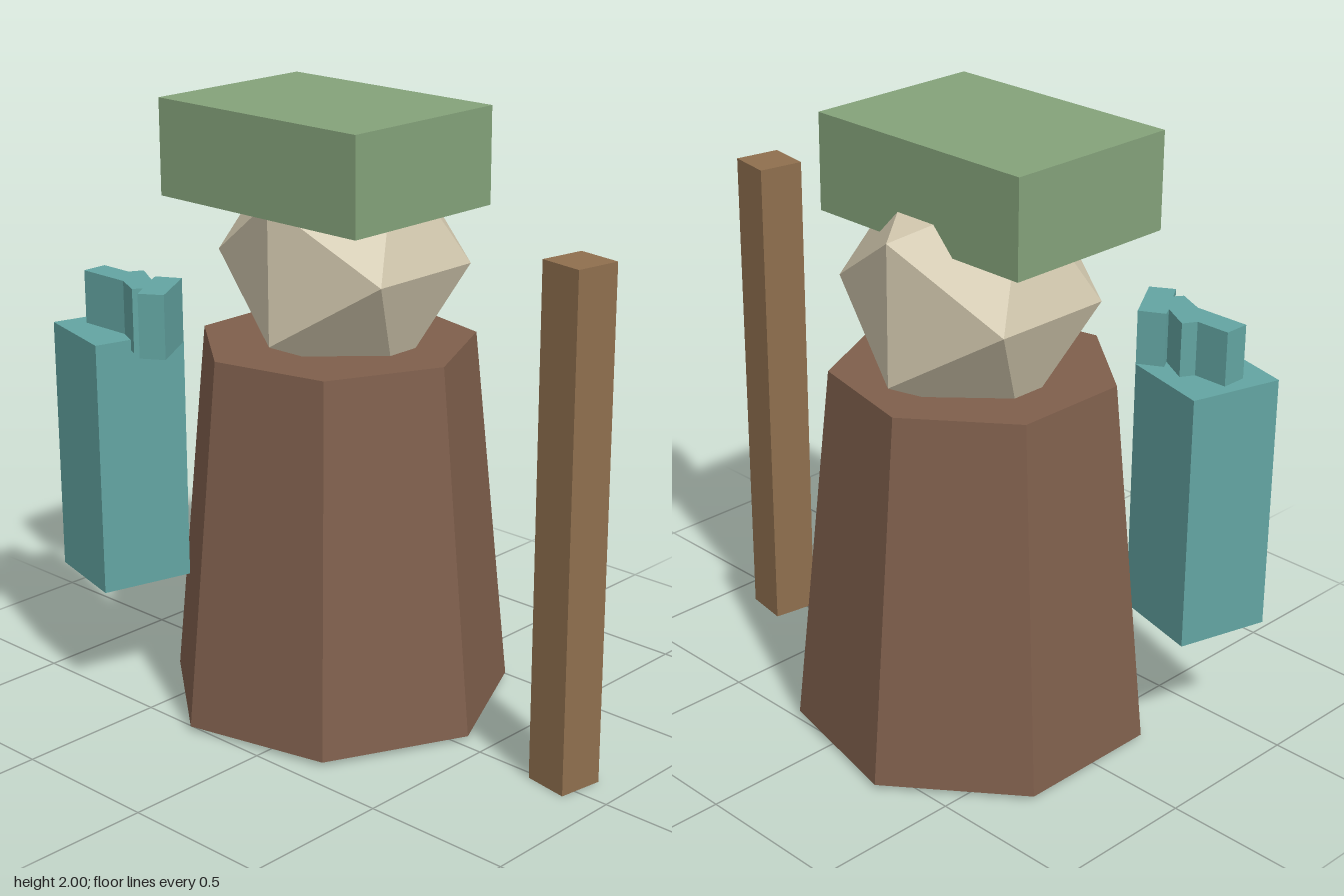
import * as THREE from 'three';

const material = (color) => new THREE.MeshStandardMaterial({ color, flatShading: true });

function addMesh(group, name, geometry, color, x, y, z, turn = 0) {
  const mesh = new THREE.Mesh(geometry, material(color));
  mesh.name = name;
  mesh.position.set(x, y, z);
  mesh.rotation.y = turn;
  group.add(mesh);
  return mesh;
}

export function createModel() {
  const group = new THREE.Group();
  group.name = 'figure';

  const brown = 0x7f5f4c, teal = 0x63a5a2;

  // Seven-sided tapered robe, one corner pointing to +x
  addMesh(group, 'robe', new THREE.CylinderGeometry(0.453, 0.573, 1.215, 7, 1, false, Math.PI / 2),
    brown, -0.153, 0.6225, -0.035);

  // Faceted head, partly sunk into the robe and the hat
  const head = addMesh(group, 'head', new THREE.IcosahedronGeometry(1, 0), 0xd2c8ae, -0.153, 1.495, -0.065);
  head.scale.set(0.415, 0.435, 0.394);

  // Flat block hat
  addMesh(group, 'hat', new THREE.BoxGeometry(0.835, 0.31, 0.608), 0x84a27a, -0.152, 1.845, 0.02);

  // Free-standing square staff
  addMesh(group, 'staff', new THREE.BoxGeometry(0.152, 1.66, 0.152), 0x8f6f4e, 0.808, 0.83, -0.036, -0.16);

  // Square pillar at the side
  addMesh(group, 'sidePillar', new THREE.BoxGeometry(0.31, 0.84, 0.31), teal, -0.71, 0.83, 0.401, -0.26);

  // Flat tool on the pillar: straight handle, angled collar and crossbar (x, z outline)
  const outline = [
    [-0.817, 0.357], [-0.701, 0.357], [-0.677, 0.313], [-0.576, 0.371],
    [-0.595, 0.337], [-0.518, 0.294], [-0.412, 0.467], [-0.484, 0.511],
    [-0.518, 0.458], [-0.537, 0.487], [-0.629, 0.443], [-0.817, 0.443],
  ];
  const shape = new THREE.Shape(outline.map(([x, z]) => new THREE.Vector2(x, -z)));
  const tool = new THREE.ExtrudeGeometry(shape, { depth: 0.21, bevelEnabled: false });
  tool.rotateX(-Math.PI / 2);
  addMesh(group, 'tool', tool, teal, 0, 1.215, 0);

  return group;
}
